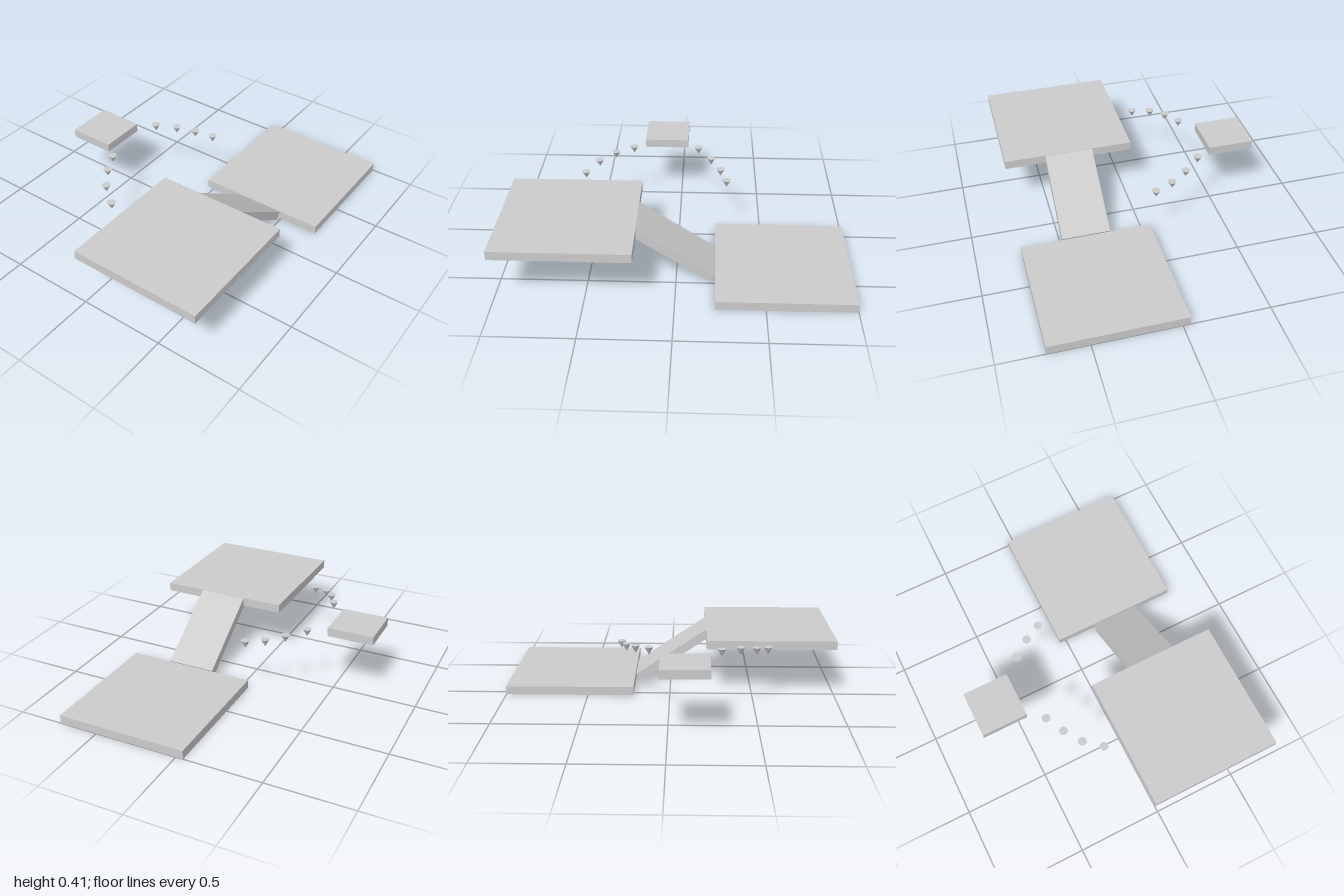
import * as THREE from 'three';

export function createModel() {
  const model = new THREE.Group();
  const material = new THREE.MeshStandardMaterial({ color: 0xcccccc });
  const thickness = 0.052;

  function add(name, geometry, x, y, z) {
    const mesh = new THREE.Mesh(geometry, material);
    mesh.name = name;
    mesh.position.set(x, y, z);
    model.add(mesh);
    return mesh;
  }

  // Square slabs, placed by the height of their top face
  function slab(name, size, x, top, z) {
    add(name, new THREE.BoxGeometry(size, thickness, size), x, top - thickness / 2, z);
  }
  slab('upperPlatform', 0.778, -0.611, 0.35, 0.346);
  slab('lowerPlatform', 0.778, 0.611, thickness, 0.346);
  slab('floatingPlatform', 0.272, -0.093, 0.411, -0.6);

  // Sloping ramp: its top face joins the facing top edges of the platforms
  const start = new THREE.Vector2(-0.222, 0.348);
  const end = new THREE.Vector2(0.217, 0.052);
  const slope = end.clone().sub(start);
  const angle = slope.angle();
  const mid = start.clone().add(end).multiplyScalar(0.5);
  const ramp = add('ramp', new THREE.BoxGeometry(slope.length(), thickness, 0.29),
    mid.x + Math.sin(angle) * thickness / 2, mid.y - Math.cos(angle) * thickness / 2, 0.345);
  ramp.rotation.z = angle;

  // Stepping cones pointing down: [x, top height, z]
  const height = 0.046;
  const cone = new THREE.ConeGeometry(0.025, height, 32).rotateX(Math.PI);
  const steps = [
    [-0.577, 0.349, -0.149], [-0.503, 0.378, -0.249], [-0.406, 0.401, -0.319], [-0.297, 0.41, -0.375],
    [0.109, 0.415, -0.365], [0.19, 0.393, -0.266], [0.248, 0.372, -0.166], [0.284, 0.356, -0.059],
  ];
  steps.forEach(([x, top, z], i) => add(`steppingCone${i + 1}`, cone, x, top - height / 2, z));

  return model;
}
